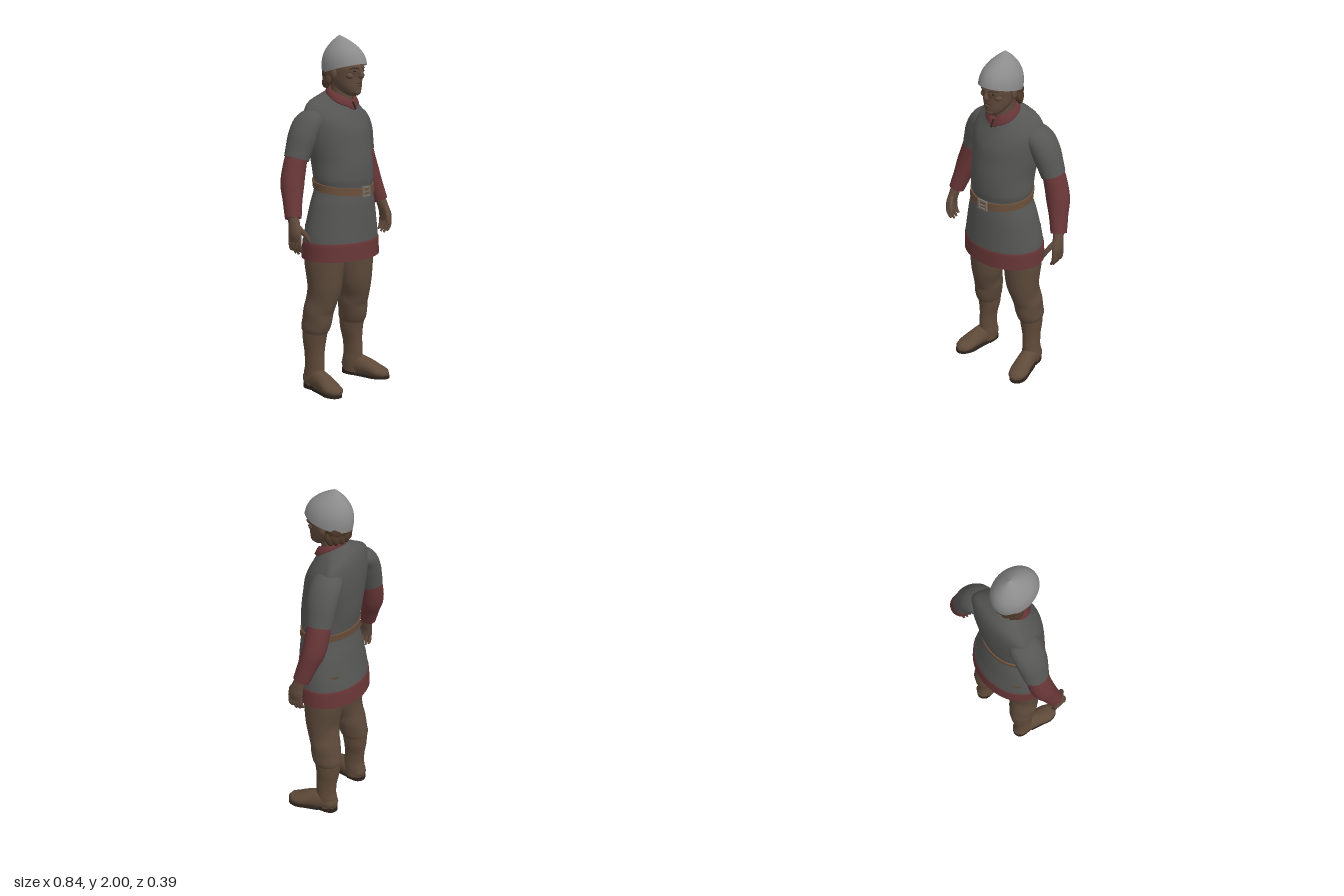
import * as THREE from 'three';

const V = (x, y, z) => new THREE.Vector3(x, y, z);
const mat = (name, color, side = THREE.FrontSide) => {
  const m = new THREE.MeshStandardMaterial({ color, side });
  m.name = name;
  return m;
};

// Closed-around surface: rings is an array of rings of points, bottom to top
function skin(rings) {
  const n = rings[0].length, pos = [], idx = [];
  rings.forEach(r => r.forEach(p => pos.push(p.x, p.y, p.z)));
  for (let i = 0; i < rings.length - 1; i++) for (let j = 0; j < n; j++) {
    const a = i * n + j, b = i * n + (j + 1) % n;
    idx.push(a, b, b + n, a, b + n, a + n);
  }
  const g = new THREE.BufferGeometry();
  g.setAttribute('position', new THREE.Float32BufferAttribute(pos, 3));
  g.setIndex(idx);
  g.computeVertexNormals();
  return g;
}
const ring = (n, fn) => Array.from({ length: n }, (_, j) => fn(j / n * Math.PI * 2));

// Capped limb through stations [x, y, z, radiusA, radiusB]; radiusB lies along ref
function limb(s, pts, { ref = V(0, 0, 1), n = 20, sub = 5, floor = -1 } = {}) {
  const path = new THREE.CatmullRomCurve3(pts.map(p => V(p[0] * s, p[1], p[2])));
  const size = new THREE.CatmullRomCurve3(pts.map(p => V(p[3], p[4], 0)));
  const rows = (pts.length - 1) * sub, rings = [];
  for (let i = 0; i <= rows; i++) {
    const c = path.getPoint(i / rows), r = size.getPoint(i / rows), t = path.getTangent(i / rows);
    const b = ref.clone().addScaledVector(t, -ref.dot(t)).normalize();
    const a = b.clone().cross(t);
    const R = ring(n, q => {
      const p = c.clone().addScaledVector(a, Math.cos(q) * r.x).addScaledVector(b, Math.sin(q) * r.y);
      p.y = Math.max(p.y, floor);
      return p;
    });
    const centre = ring(n, () => V(c.x, Math.max(c.y, floor), c.z));
    if (i === 0) rings.push(centre, R);
    rings.push(R);
    if (i === rows) rings.push(R, centre);
  }
  return skin(rings);
}

// Smooth lookup in a table whose first column is y
function sample(table, y) {
  let k = 0;
  while (k < table.length - 2 && y > table[k + 1][0]) k++;
  const A = table[k], B = table[k + 1], h = B[0] - A[0];
  const u = Math.min(1, Math.max(0, (y - A[0]) / h));
  const slope = (i, c) => {
    const p = table[Math.max(0, i - 1)], q = table[Math.min(table.length - 1, i + 1)];
    return (q[c] - p[c]) / (q[0] - p[0]) * h;
  };
  return A.map((_, c) => {
    const d = B[c] - A[c], m0 = slope(k, c), m1 = slope(k + 1, c);
    return A[c] + u * (m0 + u * (3 * d - 2 * m0 - m1 + u * (m0 + m1 - 2 * d)));
  });
}

// Tunic: y, half width, front z, back z, z of the widest point
const BODY = [
  [0.765, 0.25, 0.193, -0.19, 0], [0.87, 0.245, 0.188, -0.18, 0], [0.95, 0.233, 0.185, -0.165, 0],
  [1.07, 0.206, 0.18, -0.145, 0.01], [1.165, 0.178, 0.172, -0.128, 0.02], [1.21, 0.186, 0.178, -0.132, 0.02],
  [1.31, 0.187, 0.175, -0.15, 0], [1.42, 0.203, 0.158, -0.158, -0.03], [1.5, 0.213, 0.147, -0.158, -0.06],
  [1.56, 0.208, 0.132, -0.148, -0.07], [1.6, 0.18, 0.118, -0.13, -0.065], [1.635, 0.13, 0.1, -0.1, -0.03],
  [1.67, 0.085, 0.085, -0.07, 0.005],
];
function body(y, q, off = 0) {
  const [, w, zf, zb, zm] = sample(BODY, y), c = Math.cos(q);
  const z = zm + c * (c > 0 ? zf - zm + off : zm - zb + off);
  const tilt = 0.5 * THREE.MathUtils.smoothstep(y, 1.42, 1.67);
  return V(Math.sin(q) * (w + off), y - tilt * z, z);
}

// Head: y, half width, front z, back z
const HEAD = [
  [1.672, 0.022, 0.118, 0.06], [1.69, 0.047, 0.132, 0.02], [1.72, 0.066, 0.137, -0.03], [1.75, 0.076, 0.138, -0.06],
  [1.78, 0.081, 0.14, -0.075], [1.82, 0.084, 0.148, -0.08], [1.87, 0.08, 0.125, -0.075],
];

export function createModel() {
  const root = new THREE.Group();
  root.name = 'foot soldier';
  const M = {
    tunic: mat('grey tunic', 0x565655, THREE.DoubleSide), red: mat('dark red cloth', 0x683637, THREE.DoubleSide),
    steel: mat('helmet steel', 0x8c8c8c, THREE.DoubleSide), skin: mat('skin', 0x604a3c), hair: mat('brown hair', 0x4c3828),
    trousers: mat('brown trousers', 0x5d4a3b), boots: mat('boot leather', 0x5f4a39), belt: mat('belt leather', 0x6a4e39),
    dark: mat('dark brown', 0x2c231d), buckle: mat('buckle metal', 0x77706a),
  };
  const add = (name, geo, m, parent = root) => {
    const mesh = new THREE.Mesh(geo, m);
    mesh.name = name;
    parent.add(mesh);
    return mesh;
  };
  const ball = (name, m, x, y, z, rx, ry, rz, parent = root) =>
    add(name, new THREE.SphereGeometry(1, 16, 12).scale(rx, ry, rz).translate(x, y, z), m, parent);

  // Tunic, red hem and belt share one body surface
  const span = (y0, y1, k, off) => Array.from({ length: k + 1 }, (_, i) => ring(56, q => body(y0 + (y1 - y0) * i / k, q, off)));
  add('tunic', skin(span(0.85, 1.67, 60, 0)), M.tunic);
  add('hem', skin([...span(0.765, 0.865, 6, 0.003), ring(56, q => body(0.867, q, -0.002))]), M.red);
  add('belt', skin([[-0.022, -0.004], [-0.02, 0.009], [-0.02, 0.009], [0.02, 0.009], [0.02, 0.009], [0.022, -0.004]]
    .map(([dy, off]) => ring(56, q => body(1.172 - 0.15 * body(1.17, q).z + dy, q, off)))), M.belt);

  // Buckle: square frame with a tongue
  const rect = (C, w, h) => new C().setFromPoints([[-w, -h], [w, -h], [w, h], [-w, h]].map(p => new THREE.Vector2(...p)));
  const frame = rect(THREE.Shape, 0.032, 0.029);
  frame.holes.push(rect(THREE.Path, 0.022, 0.019));
  add('buckle', new THREE.ExtrudeGeometry(frame, { depth: 0.012, bevelEnabled: false }).translate(0, 1.147, 0.18), M.buckle);
  add('buckleTongue', new THREE.BoxGeometry(0.05, 0.007, 0.008).translate(0.003, 1.147, 0.19), M.buckle);

  // Collar: tilted band dipping to a notch at the front
  add('collar', skin([[0.092, -0.014], [0.098, -0.004], [0.086, 0.018], [0.074, 0.03], [0.066, 0.022]].map(([r, dy]) =>
    ring(48, q => {
      const z = 0.012 + Math.cos(q) * r * 0.92, d = Math.atan2(Math.sin(q), Math.cos(q));
      return V(Math.sin(q) * r, 1.672 - 0.52 * z + dy - 0.016 * Math.exp(-d * d * 12), z);
    }))), M.red);
  add('collarSlit', new THREE.BoxGeometry(0.006, 0.045, 0.008).rotateX(-0.5).translate(0, 1.617, 0.101), M.dark);

  // Head and neck
  const head = new THREE.Group();
  head.name = 'head';
  root.add(head);
  add('neck', limb(1, [[0, 1.58, -0.005, 0.07, 0.07], [0, 1.66, 0.005, 0.06, 0.063], [0, 1.78, 0.01, 0.058, 0.062]]), M.skin, head);
  const faceRings = Array.from({ length: 25 }, (_, i) => {
    const y = 1.672 + 0.198 * i / 24, [, w, zf, zb] = sample(HEAD, y);
    return ring(32, q => V(Math.sin(q) * w, y, (zf + zb) / 2 + Math.cos(q) * (zf - zb) / 2));
  });
  add('face', skin([ring(32, () => V(0, 1.67, 0.09)), ...faceRings]), M.skin, head);
  add('nose', limb(1, [[0, 1.825, 0.138, 0.009, 0.008], [0, 1.8, 0.146, 0.01, 0.012], [0, 1.782, 0.15, 0.016, 0.015],
    [0, 1.77, 0.142, 0.012, 0.008]], { n: 12 }), M.skin, head);
  ball('mouth', M.dark, 0, 1.742, 0.1345, 0.024, 0.0025, 0.006, head);
  ball('lowerLip', M.skin, 0, 1.734, 0.134, 0.02, 0.006, 0.009, head);
  ball('chin', M.skin, 0, 1.694, 0.121, 0.026, 0.018, 0.016, head);
  for (const s of [1, -1]) {
    ball('eye', M.dark, s * 0.033, 1.808, 0.132, 0.012, 0.005, 0.007, head);
    ball('cheek', M.skin, s * 0.045, 1.782, 0.105, 0.024, 0.018, 0.022, head);
    add('eyebrow', limb(s, [[0.015, 1.822, 0.146, 0.004, 0.004], [0.035, 1.827, 0.138, 0.005, 0.006],
      [0.06, 1.82, 0.112, 0.003, 0.004]], { n: 8 }), M.hair, head);
    ball('ear', M.skin, s * 0.088, 1.792, 0.025, 0.013, 0.032, 0.02, head);
  }

  // Hair: a mass at the back of the head with a ragged lower edge of locks
  ball('hair', M.hair, 0, 1.79, -0.03, 0.097, 0.07, 0.066, head);
  for (let i = 0; i < 15; i++) {
    const q = Math.PI * (0.5 + i / 14), odd = i % 2;
    ball('lock', M.hair, Math.sin(q) * 0.086, 1.755 - 0.014 * odd, -0.015 + Math.cos(q) * 0.06, 0.019, 0.03, 0.019, head);
  }

  // Helmet: pointed shell with a sloping rim
  add('helmet', skin([-0.03, 0, 0, ...Array.from({ length: 24 }, (_, i) => (i + 1) / 24)].map((h, i) => {
    const r = i === 0 ? 0.92 : 1 - Math.pow(h, 2.6), t = Math.max(h, 0);
    return ring(48, q => {
      const z0 = 0.03 + Math.cos(q) * 0.135, brim = 1.808 + 0.24 * z0;
      return V(Math.sin(q) * 0.107 * r, brim + (2 - brim) * t, 0.03 - 0.038 * t + Math.cos(q) * 0.135 * r);
    });
  })), M.steel, head);

  for (const s of [1, -1]) {
    const side = s > 0 ? 'left' : 'right';
    // Arm
    add(side + 'ShortSleeve', limb(s, [[0.1, 1.555, -0.055, 0.04, 0.06], [0.16, 1.545, -0.06, 0.06, 0.085],
      [0.205, 1.515, -0.065, 0.068, 0.09], [0.24, 1.455, -0.068, 0.071, 0.088], [0.265, 1.39, -0.072, 0.067, 0.08],
      [0.284, 1.335, -0.075, 0.064, 0.073]], { n: 28 }), M.tunic);
    add(side + 'LongSleeve', limb(s, [[0.275, 1.37, -0.075, 0.055, 0.06], [0.295, 1.31, -0.075, 0.062, 0.066],
      [0.325, 1.21, -0.068, 0.066, 0.066], [0.355, 1.11, -0.04, 0.052, 0.054], [0.378, 1.025, -0.015, 0.044, 0.047]], { n: 24 }), M.red);

    // Hand
    const hand = new THREE.Group();
    hand.name = side + 'Hand';
    root.add(hand);
    add('palm', limb(s, [[0.378, 1.04, -0.015, 0.028, 0.032], [0.388, 0.985, 0.002, 0.025, 0.036],
      [0.396, 0.94, 0.012, 0.02, 0.044], [0.395, 0.9, 0.014, 0.013, 0.042]]), M.skin, hand);
    [[0.046, 0.845], [0.024, 0.832], [0.002, 0.836], [-0.02, 0.85]].forEach(([z, y]) =>
      add('finger', limb(s, [[0.397, 0.925, z, 0.011, 0.011], [0.395, 0.885, z, 0.0115, 0.0115],
        [0.386, 0.86, z - 0.002, 0.01, 0.01], [0.374, y, z - 0.004, 0.006, 0.006]], { n: 10, sub: 3 }), M.skin, hand));
    add('thumb', limb(s, [[0.385, 0.985, 0.022, 0.014, 0.016], [0.364, 0.945, 0.055, 0.014, 0.015],
      [0.35, 0.915, 0.069, 0.012, 0.012], [0.342, 0.89, 0.076, 0.006, 0.006]], { n: 10, sub: 3 }), M.skin, hand);

    // Leg, gathered into the boot below the knee
    add(side + 'TrouserLeg', limb(s, [[0.11, 0.95, -0.01, 0.11, 0.125], [0.128, 0.77, -0.01, 0.108, 0.12],
      [0.134, 0.6, -0.004, 0.095, 0.1], [0.146, 0.51, -0.02, 0.08, 0.093], [0.152, 0.46, -0.033, 0.084, 0.088],
      [0.158, 0.4, -0.04, 0.077, 0.09], [0.164, 0.355, -0.05, 0.072, 0.086], [0.165, 0.33, -0.052, 0.063, 0.078]], { n: 28 }), M.trousers);

    // Boot
    add(side + 'BootShaft', limb(s, [[0.163, 0.34, -0.053, 0.062, 0.08], [0.165, 0.28, -0.055, 0.058, 0.073],
      [0.17, 0.2, -0.05, 0.046, 0.064], [0.172, 0.13, -0.047, 0.046, 0.063], [0.172, 0.08, -0.05, 0.05, 0.067],
      [0.172, 0.02, -0.052, 0.048, 0.064]], { n: 24 }), M.boots);
    add(side + 'BootFoot', limb(s, [[0.17, 0.045, -0.116, 0.022, 0.028], [0.172, 0.052, -0.09, 0.046, 0.05],
      [0.18, 0.06, -0.02, 0.049, 0.064], [0.194, 0.052, 0.05, 0.052, 0.052], [0.208, 0.036, 0.115, 0.056, 0.036],
      [0.213, 0.03, 0.16, 0.042, 0.027], [0.216, 0.027, 0.181, 0.014, 0.01]], { ref: V(0, 1, 0), n: 24, floor: 0.014 }), M.boots);
    const plate = (name, pts, depth) => {
      const shape = new THREE.Shape(new THREE.SplineCurve(pts.map(p => new THREE.Vector2(p[0] * s, -p[1]))).getPoints(32));
      add(name, new THREE.ExtrudeGeometry(shape, { depth, bevelEnabled: false }).rotateX(-Math.PI / 2), M.dark);
    };
    plate(side + 'Sole', [[0.135, -0.02], [0.145, 0.05], [0.153, 0.115], [0.18, 0.165], [0.216, 0.182], [0.25, 0.165],
      [0.263, 0.115], [0.245, 0.05], [0.226, -0.02]], 0.016);
    plate(side + 'Heel', [[0.13, -0.02], [0.127, -0.08], [0.145, -0.11], [0.172, -0.12], [0.2, -0.11], [0.217, -0.08],
      [0.22, -0.02]], 0.026);
  }
  return root;
}
